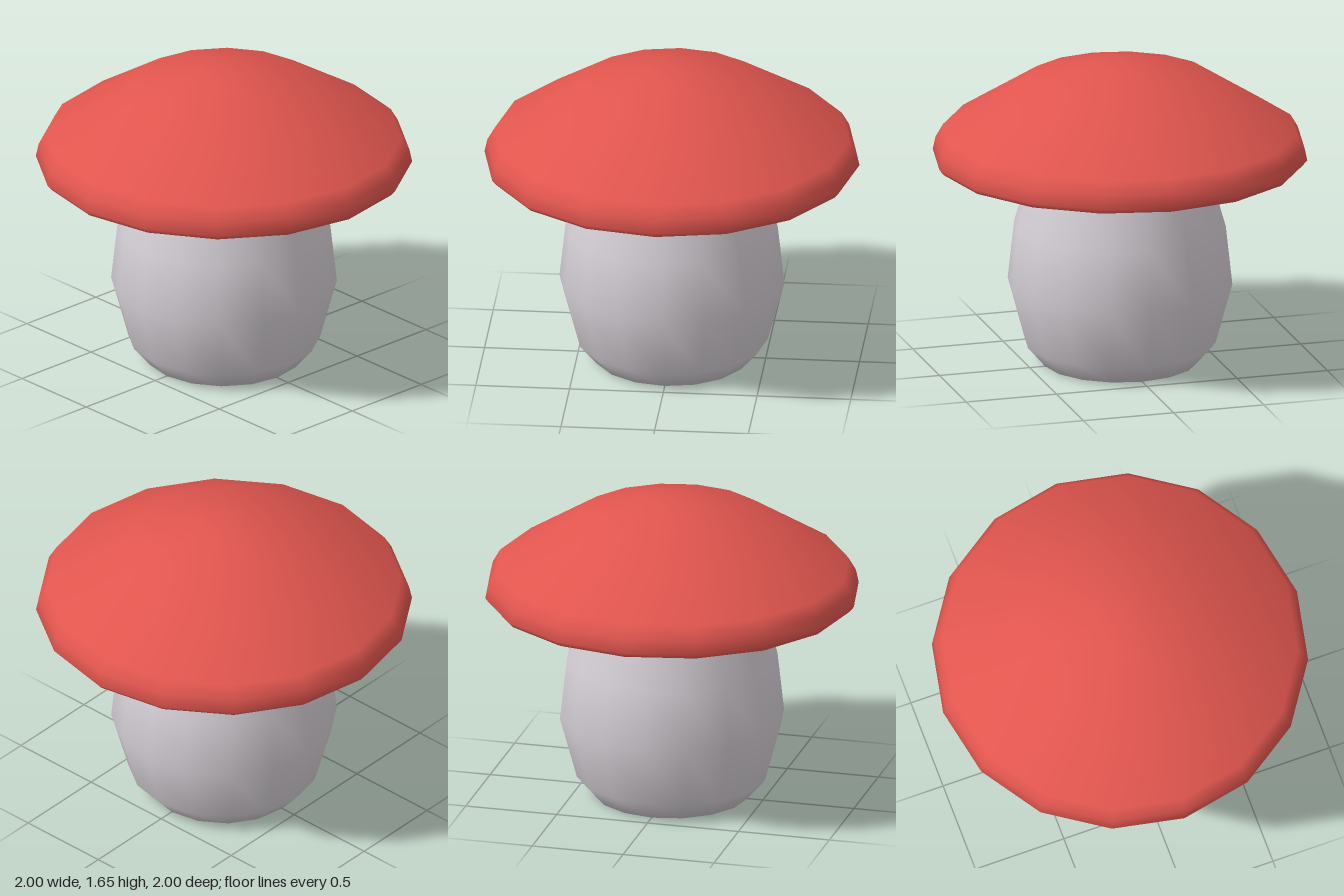
import * as THREE from 'three';

const SIDES = 16;

// Smooth lathe part from [radius, height] points, ordered so faces point outward
function turned(name, color, profile) {
  const points = profile.map(([r, y]) => new THREE.Vector2(r, y));
  const mesh = new THREE.Mesh(
    new THREE.LatheGeometry(points, SIDES),
    new THREE.MeshStandardMaterial({ color })
  );
  mesh.name = name;
  return mesh;
}

export function createModel() {
  const mushroom = new THREE.Group();
  mushroom.name = 'mushroom';

  // Bulging stem with a closed base, tucked up into the cap
  mushroom.add(turned('stem', 0xd6d0d6, [
    [0, 0], [0.415, 0], [0.51, 0.11], [0.6, 0.44],
    [0.565, 0.76], [0.495, 1.0], [0.48, 1.11], [0.45, 1.27],
  ]));

  // Hollow underside, rising more steeply where it meets the stem
  mushroom.add(turned('gills', 0xc0c07c, [
    [0.44, 1.27], [0.52, 1.19], [0.975, 1.11],
  ]));

  // Domed cap with a rolled rim
  mushroom.add(turned('cap', 0xe0554e, [
    [0.975, 1.11], [1.0, 1.14], [0.985, 1.21], [0.945, 1.28],
    [0.5, 1.56], [0.15, 1.65], [0, 1.65],
  ]));

  return mushroom;
}
